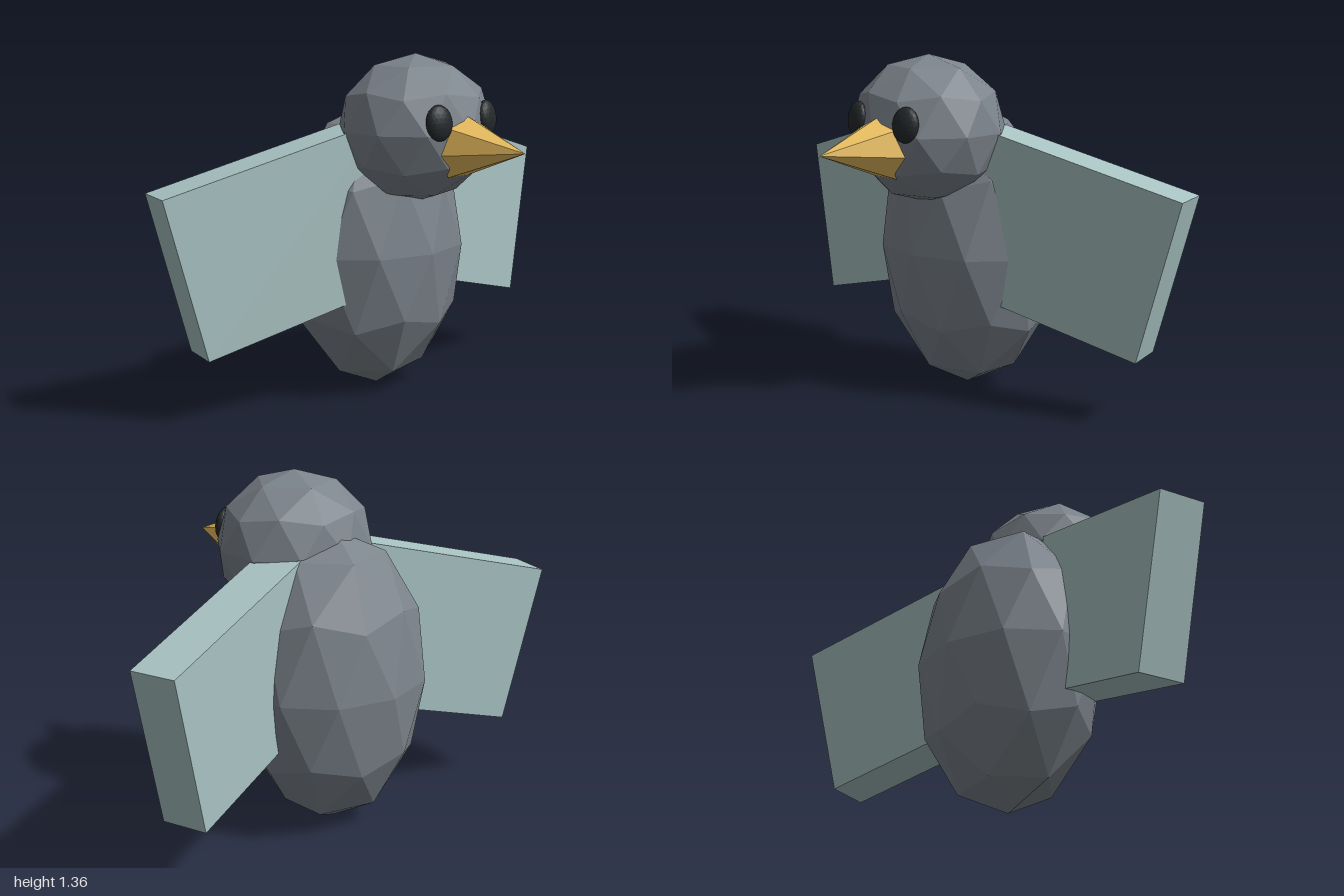
import * as THREE from 'three';

const material = (color) => new THREE.MeshStandardMaterial({ color, flatShading: true });

export function createModel() {
  const bird = new THREE.Group();
  bird.name = 'bird';
  const feathers = material(0x7c848c);
  const wingColor = material(0xa9c3c3);
  const eyeColor = material(0x24282b);
  const beakColor = material(0xe8bd5e);

  const add = (name, geometry, mat, x, y, z) => {
    const mesh = new THREE.Mesh(geometry, mat);
    mesh.name = name;
    mesh.position.set(x, y, z);
    bird.add(mesh);
    return mesh;
  };

  // Faceted ball with a vertex at each pole, stretched to an ellipsoid
  const ball = (detail, rx, ry, rz) =>
    new THREE.IcosahedronGeometry(1, detail)
      .rotateZ(-Math.atan(2 / (1 + Math.sqrt(5))))
      .scale(rx, ry, rz);

  add('body', ball(1, 0.39, 0.58, 0.322), feathers, 0, 0.58, -0.23);
  add('head', ball(1, 0.31, 0.288, 0.297), feathers, 0, 1.068, -0.003);

  // Seven-sided beak with one ridge on top
  const beak = new THREE.ConeGeometry(0.131, 0.33, 7)
    .rotateX(Math.PI / 2)
    .rotateZ(-Math.PI / 2 + Math.PI);
  beak.computeBoundingBox();
  // Turn the cone so that a corner of its base points straight up
  if (beak.boundingBox.max.y < 0.1305) beak.rotateZ(Math.PI / 2);
  if (Math.abs(beak.boundingBox.min.y) > 0.1305) beak.rotateZ(Math.PI);
  add('beak', beak, beakColor, 0, 1.02, 0.39);

  for (const side of [1, -1]) {
    const label = side > 0 ? 'left' : 'right';

    const eye = add(label + 'Eye', ball(3, 0.055, 0.068, 0.03), eyeColor, side * 0.132, 1.117, 0.248);
    eye.rotation.set(-0.12, side * 0.25, 0);

    // Slab wing, swept back and drooping
    const wing = add(label + 'Wing', new THREE.BoxGeometry(0.9, 0.64, 0.182), wingColor,
      side * 0.481, 0.674, -0.23);
    wing.rotation.set(0, side * 0.279, side * -0.256, 'YXZ');
  }
  return bird;
}
